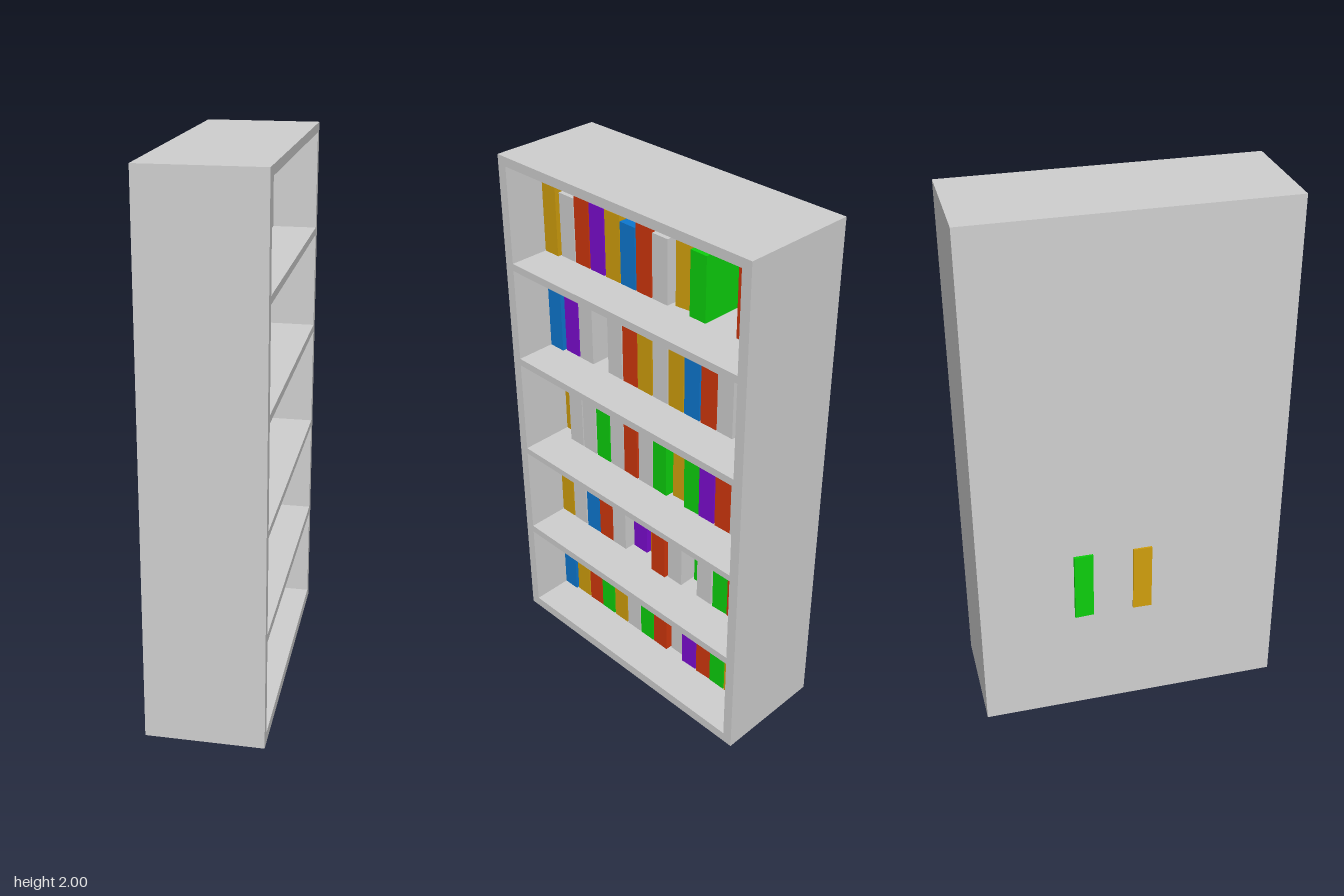
import * as THREE from 'three';

const mat = (name, color) => {
  const m = new THREE.MeshStandardMaterial({ color });
  m.name = name;
  return m;
};

export function createModel() {
  const group = new THREE.Group();
  const casing = mat('casing grey', 0xd1d1d1);
  const covers = {
    Y: mat('ochre cover', 0xd19f0d),
    W: casing,
    R: mat('red cover', 0xd1370d),
    P: mat('purple cover', 0x7d0cd1),
    B: mat('blue cover', 0x0e78d1),
    G: mat('green cover', 0x0dd10d),
  };

  // Box given by its lower and upper corners
  const box = (name, [x0, y0, z0], [x1, y1, z1], material) => {
    const mesh = new THREE.Mesh(new THREE.BoxGeometry(x1 - x0, y1 - y0, z1 - z0), material);
    mesh.position.set((x0 + x1) / 2, (y0 + y1) / 2, (z0 + z1) / 2);
    mesh.name = name;
    group.add(mesh);
    return mesh;
  };

  // Casing: back panel, two sides, top, bottom and shelves, open toward +x
  const back = -0.21, front = 0.217, inner = -0.17;
  box('backPanel', [back, 0, -0.57], [inner, 2, 0.57], casing);
  box('sidePanel', [inner, 0, 0.532], [front, 2, 0.57], casing);
  box('sidePanel', [inner, 0, -0.57], [front, 2, -0.532], casing);
  const boards = [[0, 0.04], [0.4, 0.43], [0.79, 0.815], [1.19, 1.218], [1.578, 1.606], [1.966, 2]];
  boards.forEach(([y0, y1]) => box('shelf', [inner, y0, -0.532], [front, y1, 0.532], casing));

  // Books by shelf, bottom up: cover letters per slot ('-' is a gap), heights in
  // hundredths, then per-slot turns (degrees), front positions and sideways nudges
  const rows = [
    {
      books: 'BYRGYWGRWPRGYP',
      h: [29, 24, 26.5, 26.5, 26, 27, 27, 25.5, 23.5, 24, 26.5, 24, 25, 26.5],
      turn: { 2: 1, 7: -1, 9: 2, 10: 3 }, fx: { 0: 0.06, 8: 0.03 },
    },
    {
      books: 'YWBRWPYRWGWGRY',
      h: [28, 25, 26.5, 23.5, 24.5, 26.5, 27, 25, 25.5, 27.5, 26.5, 27.5, 25, 23.5],
      turn: { 2: 2, 3: 1, 6: -1, 9: 3, 11: 3 }, fx: { 5: 0.01, 6: -0.008, 7: 0.065, 9: -0.01 },
    },
    {
      books: 'YWWGWRWGYGPRWB',
      h: [28.5, 25.5, 23.5, 25.5, 24, 26, 23.5, 25.5, 28.5, 24.5, 28, 26, 23.5, 23.5],
      turn: { 0: -2, 5: -2, 7: -2, 8: 3, 9: 3, 10: 1, 11: 2 }, fx: { 0: 0.01, 8: 0.03 },
    },
    {
      books: 'BPW-WRYWYBRWP-',
      h: [28.5, 24.5, 23.5, 0, 27.5, 24.5, 26, 25, 24.5, 27, 26.5, 24.5, 27.5],
      turn: { 5: 1, 10: 1 }, fx: { 0: 0.065 }, nudge: { 12: -0.02 },
    },
    {
      books: 'YWRPYBRWYG--RW',
      h: [28, 24, 27.5, 25, 25, 23, 27.5, 24, 25.5, 24, 0, 0, 26.5, 27.5],
      turn: { 4: 1, 8: 8, 12: -3 }, fx: { 0: 0.065, 8: 0.03 }, nudge: { 9: -0.02 },
    },
  ];
  const width = 0.071, depth = 0.209;
  rows.forEach(({ books, h, turn, fx, nudge = {} }, r) => {
    const floor = boards[r][1];
    [...books].forEach((c, i) => {
      if (c === '-') return;
      const z = 0.5 - 0.0764 * i + (nudge[i] ?? 0.0);
      const x = fx[i] ?? 0.052;
      const book = box('book', [x - depth, floor, z - width / 2], [x, floor + h[i] / 100, z + width / 2], covers[c]);
      book.rotation.y = THREE.MathUtils.degToRad(turn[i] ?? 0);
    });
  });

  return group;
}
